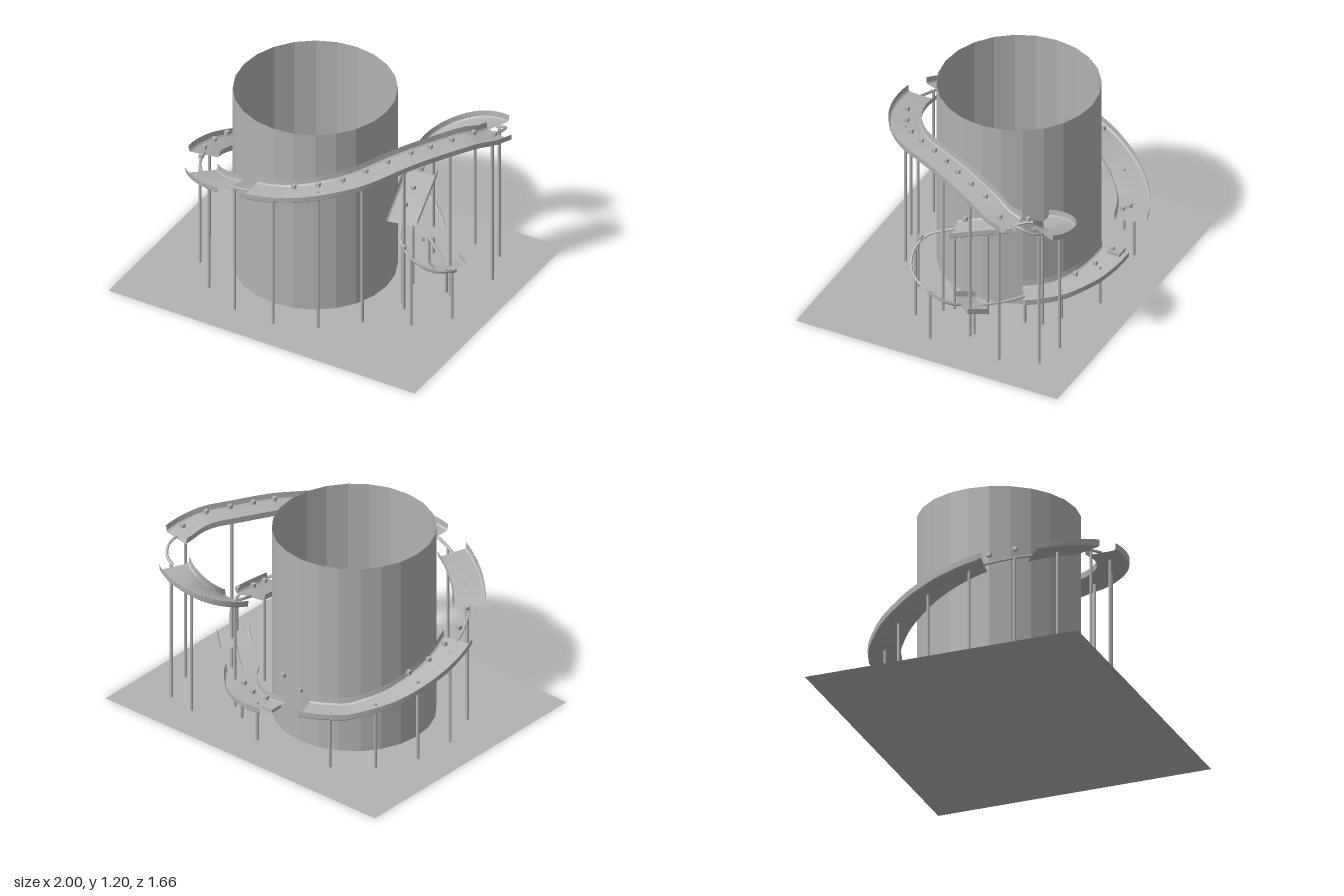
import * as THREE from 'three';

const CX = -0.14, R = 0.645, HALF = 0.094;
const V = (x, y, z) => new THREE.Vector3(x, y, z);

// point on the circular course around the tower, angle in degrees
function onRing(deg, y, r = R, cx = CX, cz = 0) {
  const a = THREE.MathUtils.degToRad(deg);
  return V(cx + r * Math.cos(a), y, cz + r * Math.sin(a));
}

// evenly spaced arc points; heights are spread along the arc
function arc(from, to, heights, r, cx, cz) {
  const n = 12, pts = [];
  for (let i = 0; i <= n; i++) {
    const t = i / n, f = t * (heights.length - 1);
    const k = Math.min(Math.floor(f), heights.length - 2);
    const y = THREE.MathUtils.lerp(heights[k], heights[k + 1], f - k);
    pts.push(onRing(from + (to - from) * t, y, r, cx, cz));
  }
  return pts;
}

// shallow channel swept along a path, always level across
const PROFILE = [[-1, 0.042], [-0.97, 0.008], [-0.88, 0], [0.88, 0], [0.97, 0.008], [1, 0.042]];
function channel(points, steps) {
  const curve = new THREE.CatmullRomCurve3(points);
  const pos = [], idx = [], m = PROFILE.length;
  for (let i = 0; i <= steps; i++) {
    const p = curve.getPoint(i / steps), t = curve.getTangent(i / steps);
    const side = V(-t.z, 0, t.x).normalize();
    for (const [s, h] of PROFILE) {
      pos.push(p.x + side.x * s * HALF, p.y + h, p.z + side.z * s * HALF);
    }
    if (i === steps) break;
    for (let j = 0; j < m - 1; j++) {
      const a = i * m + j, b = a + 1, c = a + m, d = c + 1;
      idx.push(a, b, c, b, d, c);
    }
  }
  const g = new THREE.BufferGeometry();
  g.setAttribute('position', new THREE.Float32BufferAttribute(pos, 3));
  g.setIndex(idx);
  const flat = g.toNonIndexed();
  flat.computeVertexNormals();
  return flat;
}

export function createModel() {
  const model = new THREE.Group();
  const gray = new THREE.MeshStandardMaterial({ color: 0xb2b2b2, side: THREE.DoubleSide, flatShading: true });
  gray.name = 'gray';
  const add = (name, geo, x = 0, y = 0, z = 0) => {
    const mesh = new THREE.Mesh(geo, gray);
    mesh.name = name;
    mesh.position.set(x, y, z);
    model.add(mesh);
    return mesh;
  };

  // ground sheet and open tower
  add('ground', new THREE.PlaneGeometry(2, 1.66).rotateX(-Math.PI / 2));
  add('tower', new THREE.CylinderGeometry(0.466, 0.466, 1.2, 24, 1, true), -0.135, 0.6, 0);

  // track decks
  const longDeck = arc(95, 30, [0.86, 0.9, 0.945, 0.975]).concat([
    V(0.48, 0.99, 0.217), V(0.55, 1.003, 0.1), V(0.66, 1.004, -0.095),
    V(0.745, 1.0, -0.24), V(0.79, 0.975, -0.335), V(0.81, 0.95, -0.437)]);
  const decks = {
    longDeck: [longDeck, 48],
    spiralDeck: [arc(-60, -180, [0.875, 0.82, 0.75, 0.685], 0.207, 0.597, -0.405), 24],
    straightDeck: [[V(0.405, 0.645, -0.27), V(0.445, 0.595, -0.088), V(0.485, 0.54, 0.095)], 6],
    lowDeck: [[V(0.707, 0.21, -0.07), V(0.66, 0.192, -0.11), V(0.613, 0.175, -0.15)], 4],
    backDeck: [arc(-29.5, -84.5, [0.175, 0.185, 0.22, 0.27]), 20],
    leftDeck: [arc(256, 165, [0.343, 0.365, 0.435, 0.53, 0.62]), 28],
    frontLeftDeck: [arc(141.3, 107.3, [0.69, 0.755, 0.82]), 12],
  };
  for (const [name, [pts, steps]] of Object.entries(decks)) add(name, channel(pts, steps));

  // thin rails bridging the gaps between decks
  const rails = [
    [V(0.81, 0.965, -0.437), V(0.805, 0.945, -0.51), V(0.77, 0.91, -0.565), V(0.71, 0.88, -0.585)],
    [V(0.39, 0.69, -0.4), V(0.388, 0.675, -0.33), V(0.405, 0.65, -0.27)],
    [V(0.485, 0.55, 0.095), V(0.56, 0.51, 0.225), V(0.66, 0.45, 0.26), V(0.76, 0.385, 0.215),
      V(0.808, 0.33, 0.1), V(0.775, 0.26, -0.01), V(0.707, 0.22, -0.07)],
    [V(0.613, 0.185, -0.15), V(0.51, 0.175, -0.245), V(0.42, 0.18, -0.32)],
    arc(166, 140.5, [0.625, 0.695]),
    arc(108, 94.5, [0.825, 0.865]),
  ];
  rails.forEach((pts, i) => add(`rail${i + 1}`,
    new THREE.TubeGeometry(new THREE.CatmullRomCurve3(pts), 32, 0.009, 6)));

  // support posts: regular steps around the ring, then under the rest
  const ringTops = [[35, 0.965], [58, 0.94], [81, 0.885], [104, 0.83], [127, 0.745], [150, 0.67],
    [173, 0.59], [196, 0.51], [219, 0.42], [242, 0.36], [288, 0.25], [311, 0.19], [330, 0.175]];
  const posts = ringTops.map(([a, y]) => onRing(a, y)).concat([
    V(0.525, 0.99, 0.14), V(0.68, 1.0, -0.11), V(0.81, 0.96, -0.36),
    V(0.73, 0.88, -0.575), V(0.55, 0.79, -0.61), V(0.39, 0.69, -0.42),
    V(0.445, 0.595, -0.1), V(0.485, 0.545, 0.09), V(0.64, 0.455, 0.257), V(0.805, 0.33, 0.08), V(0.65, 0.19, -0.12)]);
  for (const p of posts) {
    add('post', new THREE.CylinderGeometry(0.009, 0.009, p.y, 8), p.x, p.y / 2, p.z);
  }

  // little marker cubes along the course
  const cubes = [
    [0.82, 1.0, -0.37], [0.755, 1.06, -0.245], [0.685, 1.063, -0.12], [0.615, 1.063, 0], [0.55, 1.063, 0.107],
    [0.47, 1.045, 0.225], [0.395, 1.025, 0.345], [0.31, 1.0, 0.455], [0.2, 0.98, 0.54], [0.075, 0.96, 0.6],
    [-0.69, 0.73, 0.325], [-0.75, 0.69, 0.19], [-0.765, 0.655, 0.05], [-0.765, 0.615, -0.09], [-0.735, 0.58, -0.225],
    [-0.275, 0.467, -0.63], [-0.16, 0.527, -0.645], [-0.035, 0.33, -0.645], [0.1, 0.3, -0.605], [0.22, 0.28, -0.54],
    [0.43, 0.73, -0.35], [0.418, 0.7, -0.23], [0.445, 0.66, -0.1], [0.47, 0.63, 0.03], [0.59, 0.51, 0.25],
  ];
  for (const c of cubes) add('markerCube', new THREE.BoxGeometry(0.023, 0.023, 0.023), ...c);

  // start block at the end of the back deck
  add('startBlock', new THREE.BoxGeometry(0.075, 0.02, 0.08), -0.077, 0.288, -0.648);

  return model;
}
